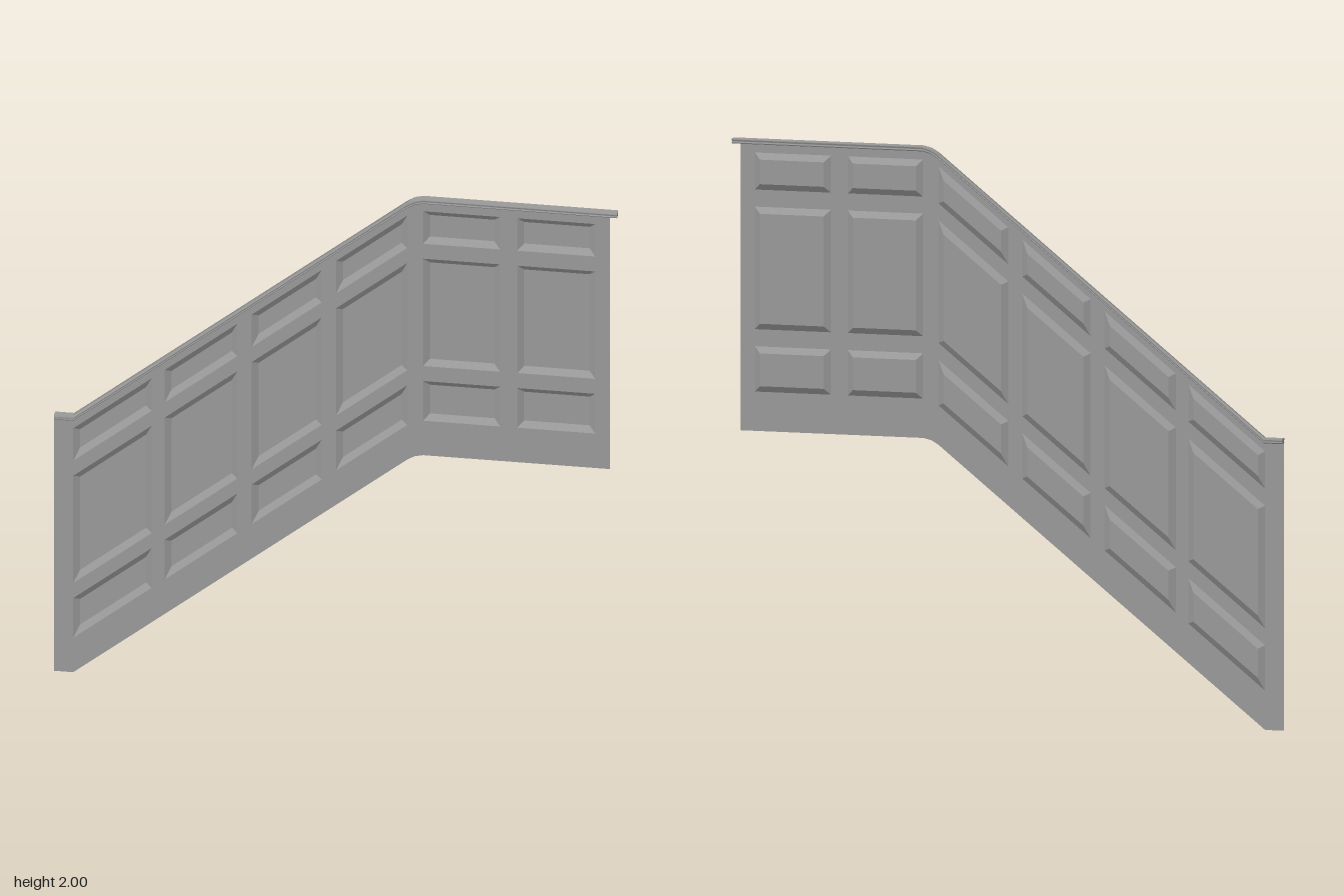
import * as THREE from 'three';
import { toCreasedNormals } from 'three/addons/utils/BufferGeometryUtils.js';

const WALL_Z = 0.008, FLOOR_Z = -0.008; // face of the sheet and floor of the recesses
const HEIGHT = 1.026;                   // vertical distance from lower edge to rail top
const LOWER = [[-0.987, 0], [-0.92, 0], [0.25, 0.952], [0.275, 0.967], [0.305, 0.974]];

// lower edge line, continued to a given right end
const edge = (endX) => [...LOWER, [endX, 0.974]];

// columns: left x, right x, base height at left, slope
const SLOPE = 0.814;
const columns = [
  ...[[-0.92, -0.645], [-0.6, -0.345], [-0.295, -0.05], [0, 0.25]]
    .map(([a, b]) => [a, b, (a + 0.92) * SLOPE, SLOPE]),
  [0.305, 0.575, 0.974, 0],
  [0.635, 0.908, 0.974, 0],
];
const rows = [[0.138, 0.297], [0.357, 0.787], [0.847, 0.977]];

// four corners of a (sheared) panel, inset by d, counter-clockwise
function corners([xa, xb, base, slope], [y0, y1], d) {
  const dy = d * Math.hypot(1, slope);
  const at = (x, y) => [x, base + (x - xa) * slope + y];
  return [at(xa + d, y0 + dy), at(xb - d, y0 + dy), at(xb - d, y1 - dy), at(xa + d, y1 - dy)];
}

// collects quads into a geometry
function fromQuads(build) {
  const pos = [];
  build((a, b, c, d) => pos.push(...a, ...b, ...c, ...a, ...c, ...d));
  const g = new THREE.BufferGeometry();
  g.setAttribute('position', new THREE.Float32BufferAttribute(pos, 3));
  g.computeVertexNormals();
  return g;
}

// recessed panel: four sloping sides and a flat floor
function panelGeometry(col, row) {
  const outer = corners(col, row, 0).map((p) => [...p, WALL_Z]);
  const inner = corners(col, row, 0.022).map((p) => [...p, FLOOR_Z]);
  return fromQuads((quad) => {
    for (let i = 0; i < 4; i++) {
      const j = (i + 1) % 4;
      quad(outer[i], outer[j], inner[j], inner[i]);
    }
    quad(...inner);
  });
}

// cap rail: moulded profile (half width, height) mirrored and swept along the upper edge
const RAIL = [[0.008, -0.018], [0.0135, -0.016], [0.0145, -0.0135], [0.012, -0.0105],
  [0.0125, -0.008], [0.0155, -0.006], [0.016, -0.003], [0.0145, 0]];

function railGeometry() {
  const profile = [...RAIL, ...RAIL.map(([z, y]) => [-z, y]).reverse()];
  const n = profile.length;
  const loops = edge(0.985).map(([x, y]) => profile.map(([pz, py]) => [x, y + HEIGHT + py, pz]));
  const first = loops[0], last = loops[loops.length - 1];
  const g = fromQuads((quad) => {
    for (let i = 0; i < loops.length - 1; i++) {
      for (let k = 0; k < n; k++) {
        const m = (k + 1) % n;
        quad(loops[i][k], loops[i + 1][k], loops[i + 1][m], loops[i][m]);
      }
    }
    // end caps
    for (let k = 0; k < n / 2 - 1; k++) {
      quad(first[k], first[k + 1], first[n - 2 - k], first[n - 1 - k]);
      quad(last[n - 1 - k], last[n - 2 - k], last[k + 1], last[k]);
    }
  });
  return toCreasedNormals(g, 1.0);
}

export function createModel() {
  const model = new THREE.Group();
  model.name = 'stairWainscot';
  const sheetMat = new THREE.MeshStandardMaterial({ color: 0x999999, side: THREE.DoubleSide });
  const railMat = new THREE.MeshStandardMaterial({ color: 0x999999 });
  const add = (parent, name, geometry, material) => {
    const mesh = new THREE.Mesh(geometry, material);
    mesh.name = name;
    parent.add(mesh);
    return mesh;
  };

  // thin wall sheet with an opening for every panel
  const low = edge(0.96).map(([x, y]) => new THREE.Vector2(x, y));
  const high = edge(0.96).map(([x, y]) => new THREE.Vector2(x, y + HEIGHT - 0.01)).reverse();
  const wall = new THREE.Shape([...low, ...high]);
  const panels = new THREE.Group();
  panels.name = 'panels';
  columns.forEach((col, c) => rows.forEach((row, r) => {
    wall.holes.push(new THREE.Path(corners(col, row, 0).map((p) => new THREE.Vector2(...p))));
    add(panels, `${['lower', 'middle', 'upper'][r]}Panel${c + 1}`, panelGeometry(col, row), sheetMat);
  }));
  add(model, 'wallSheet', new THREE.ShapeGeometry(wall), sheetMat).position.z = WALL_Z;
  model.add(panels);

  add(model, 'capRail', railGeometry(), railMat);
  return model;
}
